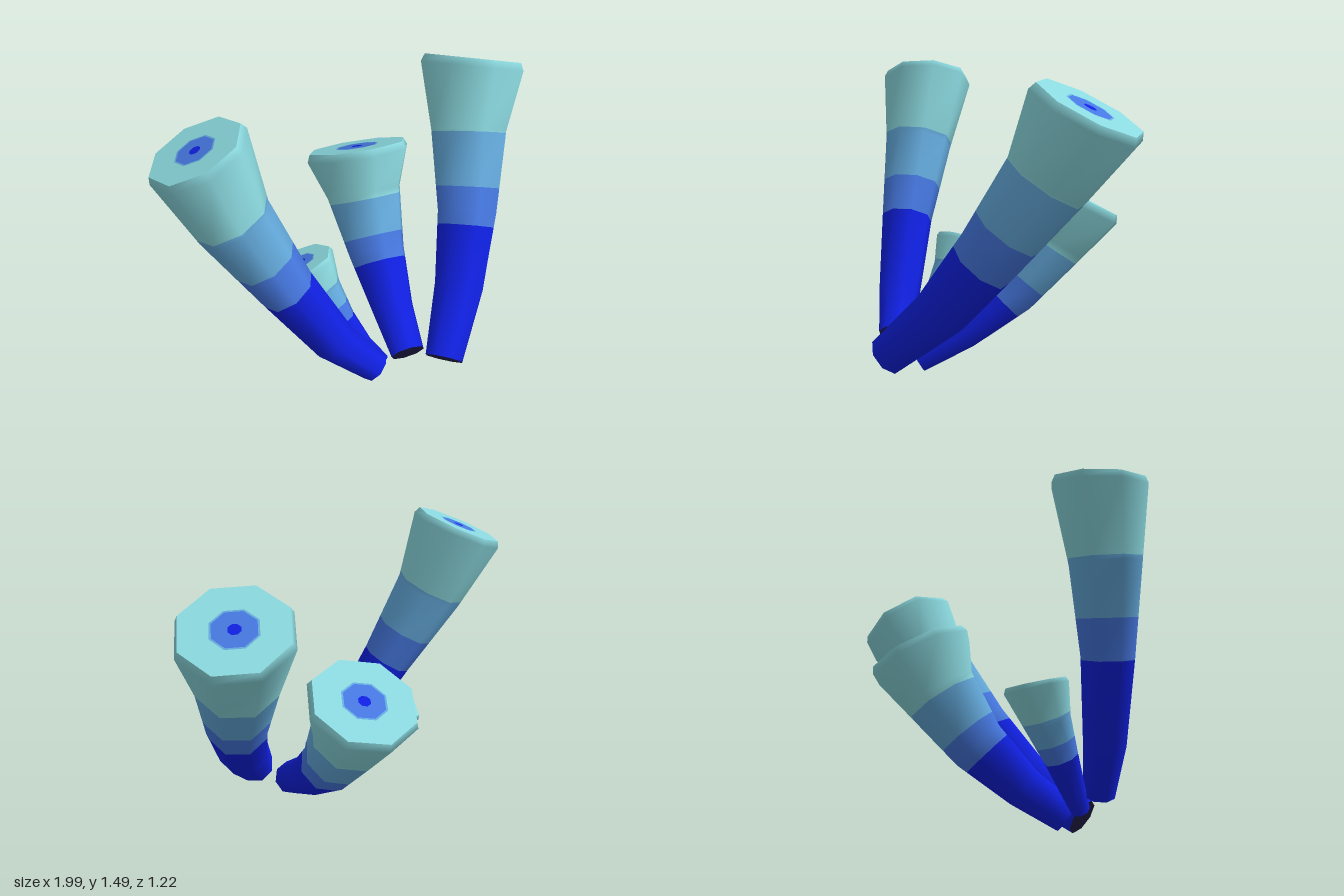
import * as THREE from 'three';

const mat = (name, color) => new THREE.MeshStandardMaterial({ name, color });
const SIDES = 8;

// Skin a list of rings (arrays of SIDES points), one material per gap between rings
function loft(name, rings, mats) {
  const pos = [], idx = [], geo = new THREE.BufferGeometry();
  rings.forEach(ring => ring.forEach(p => pos.push(p.x, p.y, p.z)));
  for (let i = 0; i < rings.length - 1; i++) {
    geo.addGroup(idx.length, SIDES * 6, i);
    for (let j = 0; j < SIDES; j++) {
      const k = (j + 1) % SIDES, a = i * SIDES, b = a + SIDES;
      idx.push(a + j, a + k, b + k, a + j, b + k, b + j);
    }
  }
  geo.setAttribute('position', new THREE.Float32BufferAttribute(pos, 3));
  geo.setIndex(idx);
  geo.computeVertexNormals();
  const mesh = new THREE.Mesh(geo, mats);
  mesh.name = name;
  return mesh;
}

// Octagon of radius r around c, perpendicular to n, with a corner towards +x
function makeRing(c, n, r) {
  const u = new THREE.Vector3(1, 0, 0).addScaledVector(n, -n.x).normalize();
  const v = new THREE.Vector3().crossVectors(n, u);
  return Array.from({ length: SIDES }, (_, j) => {
    const a = (j / SIDES) * Math.PI * 2;
    return c.clone().addScaledVector(u, r * Math.cos(a)).addScaledVector(v, r * Math.sin(a));
  });
}

const mixRings = (a, b, f) => a.map((p, j) => p.clone().lerp(b[j], f));

export function createModel() {
  const deep = mat('deepBlue', 0x1020e0);
  const mid = mat('mediumBlue', 0x4678e0);
  const sky = mat('skyBlue', 0x64aadc);
  const aqua = mat('paleAqua', 0x8ad8de);
  const shade = mat('darkUnderside', 0x241f4c);
  const bands = [deep, mid, sky, aqua];
  const ends = [0.45, 0.58, 0.765];   // where each band stops along the length

  // Each tube: stations [x, y, z, radius] from base to mouth, and the mouth's facing
  const tubes = [
    { name: 'rightTube', mouth: [-0.38, 0.92, -0.1], path: [
      [-0.065, 0.125, 0.47, 0.08], [-0.255, 0.315, 0.425, 0.107], [-0.46, 0.655, 0.365, 0.132],
      [-0.665, 1.035, 0.28, 0.178], [-0.785, 1.38, 0.213, 0.237]] },
    { name: 'smallTube', mouth: [-0.3, 1, -0.33], path: [
      [0, 0.06, 0.4, 0.047], [-0.08, 0.13, 0.33, 0.062], [-0.165, 0.25, 0.24, 0.085],
      [-0.24, 0.39, 0.145, 0.117], [-0.3, 0.54, 0.067, 0.163]] },
    { name: 'middleTube', mouth: [0, 1, -0.52], path: [
      [0.145, 0.07, 0.385, 0.088], [0.145, 0.195, 0.165, 0.11], [0.145, 0.385, -0.07, 0.15],
      [0.145, 0.635, -0.27, 0.2], [0.145, 0.835, -0.375, 0.275]] },
    { name: 'leftTube', mouth: [0.28, 1, -0.45], path: [
      [0.28, 0.12, 0.53, 0.098], [0.45, 0.36, 0.3, 0.13], [0.57, 0.65, 0.09, 0.158],
      [0.66, 0.98, -0.14, 0.202], [0.73, 1.28, -0.3, 0.275]] },
  ];

  const model = new THREE.Group();
  model.name = 'tubeCluster';

  for (const { name, mouth, path } of tubes) {
    const centres = path.map(p => new THREE.Vector3(p[0], p[1], p[2]));
    const last = centres.length - 1;
    const up = new THREE.Vector3(...mouth).normalize();
    const R = path[last][3], top = centres[last];

    // Main rings, square to the path
    const main = centres.map((c, i) => {
      if (i === last) return makeRing(c.clone().addScaledVector(up, -0.07 * R), up, R);
      const dir = centres[i + 1].clone().sub(centres[Math.max(i - 1, 0)]).normalize();
      return makeRing(c, dir, path[i][3]);
    });

    // Distance of every ring along the path, as a fraction
    const at = [0];
    for (let i = 1; i <= last; i++) at.push(at[i - 1] + centres[i].distanceTo(centres[i - 1]));
    const total = at[last];
    const frac = at.map(d => d / total);

    // Wall: main rings plus extra rings where the colour changes
    const stops = [...frac, ...ends].sort((a, b) => a - b);
    const rings = stops.map(s => {
      let i = 0;
      while (i < last - 1 && s > frac[i + 1]) i++;
      return mixRings(main[i], main[i + 1], (s - frac[i]) / (frac[i + 1] - frac[i]));
    });
    const wallMats = stops.slice(0, -1).map(s => bands[ends.filter(e => s >= e).length]);

    // Bevelled rim and flat mouth with a ringed centre
    const lip = top.clone().addScaledVector(up, 0.07 * R);
    rings.push(makeRing(lip, up, 0.94 * R));
    wallMats.push(aqua);
    const disc = [0.94, 0.42, 0.385, 0.115, 0].map(k => makeRing(lip, up, k * R));

    // Closed underside
    const base = [main[0].map(() => centres[0].clone()), main[0]];

    const tube = new THREE.Group();
    tube.name = name;
    tube.add(
      loft('wall', rings, wallMats),
      loft('mouth', disc, [aqua, sky, mid, deep]),
      loft('underside', base, [shade]),
    );
    model.add(tube);
  }
  return model;
}
